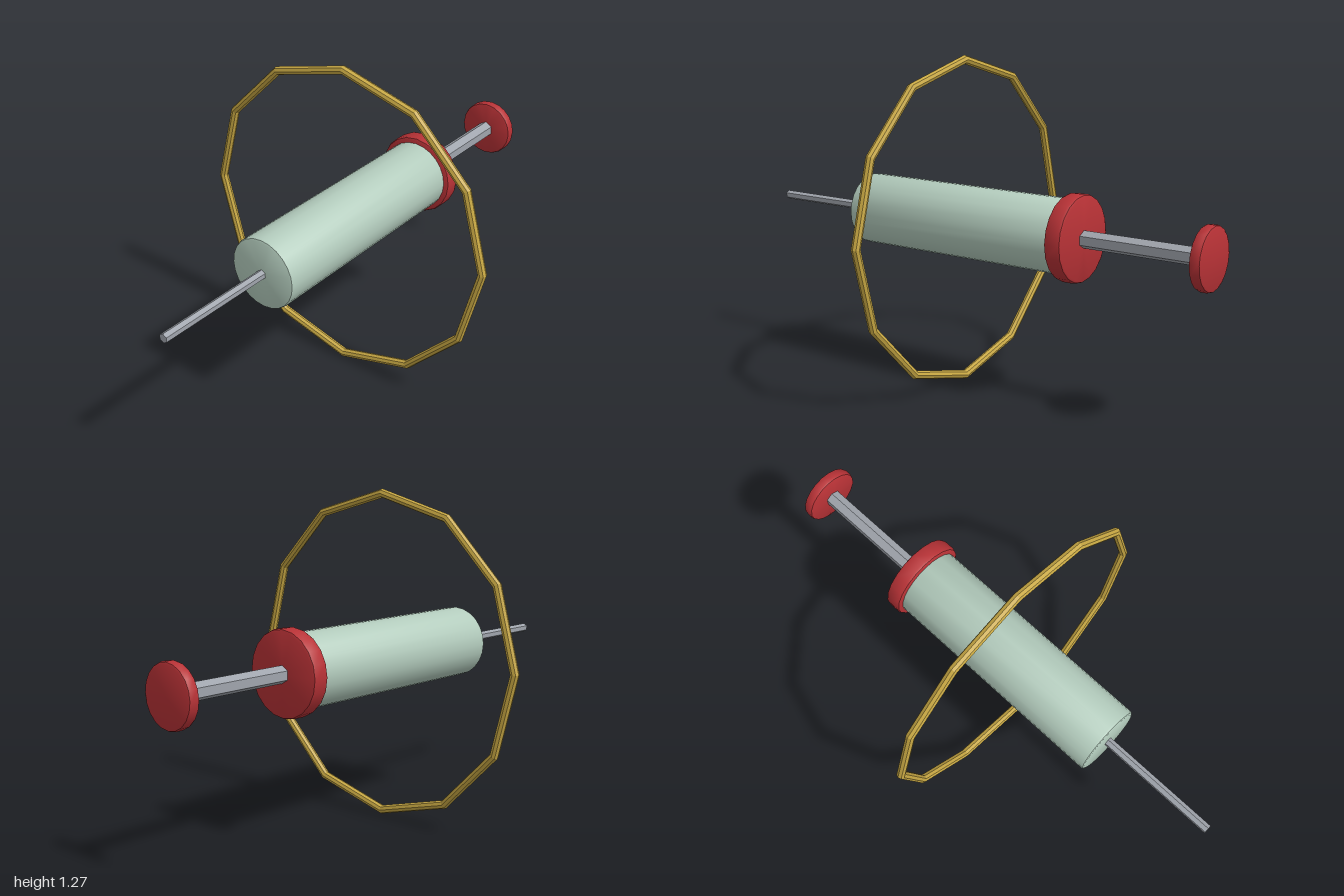
import * as THREE from 'three';
import { toCreasedNormals } from 'three/addons/utils/BufferGeometryUtils.js';

const AXIS_Y = 0.634;

function material(name, color, flatShading = false) {
  const m = new THREE.MeshStandardMaterial({ color, flatShading });
  m.name = name;
  return m;
}

// Solid round bar along z with small bevels at both ends
function bar(name, radius, z0, z1, bevel, sides, mat) {
  const profile = [
    [0, z0], [radius - bevel, z0], [radius - bevel * 0.3, z0 + bevel * 0.3], [radius, z0 + bevel],
    [radius, z1 - bevel], [radius - bevel * 0.3, z1 - bevel * 0.3], [radius - bevel, z1], [0, z1],
  ].map(([r, z]) => new THREE.Vector2(r, z));
  const geometry = toCreasedNormals(new THREE.LatheGeometry(profile, sides), 0.6);
  geometry.rotateX(Math.PI / 2);
  const mesh = new THREE.Mesh(geometry, mat);
  mesh.name = name;
  return mesh;
}

// Six-sided rod along z, a corner pointing up
function rod(name, radius, z0, z1, mat) {
  const geometry = new THREE.CylinderGeometry(radius, radius, z1 - z0, 6);
  geometry.rotateX(Math.PI / 2);
  const mesh = new THREE.Mesh(geometry, mat);
  mesh.name = name;
  mesh.position.z = (z0 + z1) / 2;
  return mesh;
}

export function createModel() {
  const green = material('pale green', 0xb4cdbe);
  const red = material('red', 0xb83236);
  const steel = material('steel grey', 0xa0a5ad, true);
  const gold = material('gold', 0xc9a944, true);

  const model = new THREE.Group();
  model.name = 'syringeWithRing';

  const syringe = new THREE.Group();
  syringe.name = 'syringe';
  syringe.position.y = AXIS_Y;
  syringe.add(
    bar('barrel', 0.14, -0.44, 0.517, 0.01, 24, green),
    bar('barrelFlange', 0.163, -0.488, -0.42, 0.012, 20, red),
    bar('plungerCap', 0.116, -1, -0.957, 0.01, 20, red),
    rod('plungerRod', 0.033, -0.97, -0.47, steel),
    rod('needle', 0.018, 0.5, 1, steel),
  );
  model.add(syringe);

  // Twelve-sided hoop around the barrel
  const ring = new THREE.Mesh(new THREE.TorusGeometry(0.617, 0.017, 8, 12), gold);
  ring.name = 'ring';
  ring.position.set(0, AXIS_Y, 0.048);
  model.add(ring);

  return model;
}
